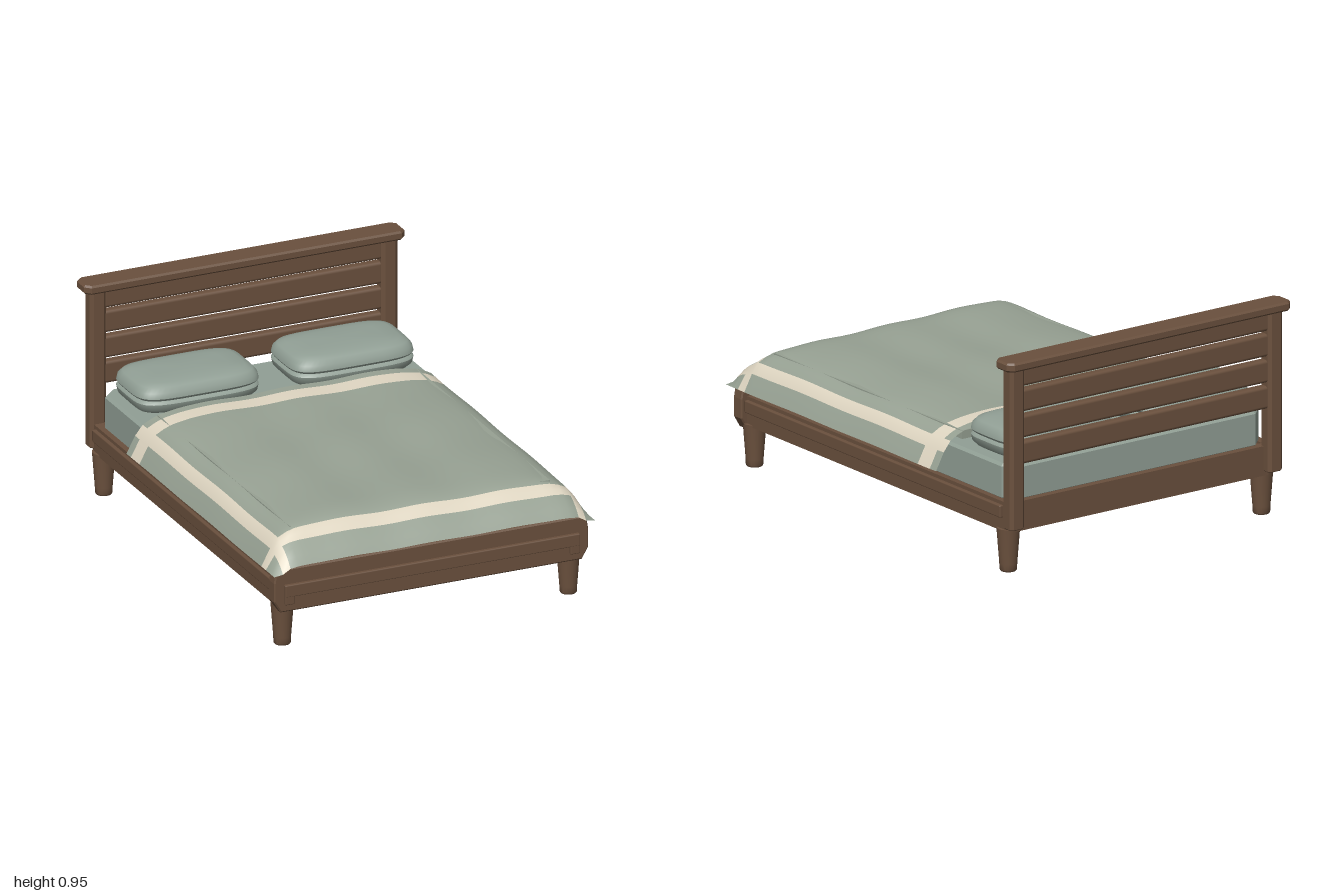
import * as THREE from 'three';
import { toCreasedNormals } from 'three/addons/utils/BufferGeometryUtils.js';
import { RoundedBoxGeometry } from 'three/addons/geometries/RoundedBoxGeometry.js';

const material = (name, color, side = THREE.FrontSide) => {
  const m = new THREE.MeshStandardMaterial({ color, side });
  m.name = name;
  return m;
};

// Rectangle with chamfered corners
function chamferedShape(w, d, c) {
  const x = w / 2, y = d / 2;
  return new THREE.Shape([
    [-x + c, -y], [x - c, -y], [x, -y + c], [x, y - c],
    [x - c, y], [-x + c, y], [-x, y - c], [-x, -y + c],
  ].map(p => new THREE.Vector2(...p)));
}

// Upright chamfered prism standing on its base, with bevelled top and bottom
function prism(w, h, d, c, bevel) {
  const g = new THREE.ExtrudeGeometry(chamferedShape(w, d, c), {
    depth: h - 2 * bevel, bevelEnabled: true, bevelSize: bevel,
    bevelThickness: bevel, bevelOffset: -bevel, bevelSegments: 1,
  });
  return g.translate(0, 0, bevel).rotateX(-Math.PI / 2);
}

// Linear interpolation through [position, value] pairs
function interpolate(points, t) {
  for (let i = 1; i < points.length; i++) {
    const [a, va] = points[i - 1], [b, vb] = points[i];
    if (t <= b) return va + (vb - va) * Math.max(0, (t - a) / (b - a));
  }
  return points[points.length - 1][1];
}

// Splits each span between stops into even steps
function subdivide(stops, maxStep) {
  const out = [stops[0]];
  for (let i = 1; i < stops.length; i++) {
    const a = stops[i - 1], b = stops[i], n = Math.ceil((b - a) / maxStep - 1e-6);
    for (let k = 1; k <= n; k++) out.push(a + (b - a) * k / n);
  }
  return out;
}

// Wavy cover draped over both sides and the foot, with border bands as a second group
function blanketGeometry() {
  const xs = subdivide([-0.74, -0.7, -0.665, -0.55, 0.55, 0.665, 0.7, 0.74], 0.04);
  const zs = subdivide([-0.48, -0.435, -0.35, 0.8, 0.87, 0.915, 1], 0.04);
  const sideDrop = [[0.5, 0], [0.58, 0.01], [0.63, 0.03], [0.665, 0.05], [0.7, 0.095], [0.72, 0.13], [0.74, 0.17]];
  const footDrop = [[0.78, 0], [0.83, 0.005], [0.87, 0.015], [0.915, 0.055], [0.96, 0.085], [1, 0.135]];
  const pos = [], base = [], bands = [];
  for (const z of zs) for (const x of xs) {
    const drop = Math.min(0.17, Math.hypot(interpolate(sideDrop, Math.abs(x)), interpolate(footDrop, z)));
    const wave = 0.005 * Math.cos(x * 17) * (0.8 + 0.2 * Math.sin(z * 5)) + 0.003 * Math.sin(z * 11 + x * 3);
    pos.push(x, 0.515 - drop + wave * (1 - drop / 0.25), z);
  }
  const n = xs.length;
  for (let j = 0; j < zs.length - 1; j++) for (let i = 0; i < n - 1; i++) {
    const x = Math.abs(xs[i] + xs[i + 1]) / 2, z = (zs[j] + zs[j + 1]) / 2;
    const isBand = (x > 0.665 && x < 0.7) || (z > -0.435 && z < -0.35) || (z > 0.87 && z < 0.915);
    const a = j * n + i, b = a + 1, c = a + n, d = c + 1;
    (isBand ? bands : base).push(a, c, b, b, c, d);
  }
  const g = new THREE.BufferGeometry();
  g.setAttribute('position', new THREE.Float32BufferAttribute(pos, 3));
  g.setIndex([...base, ...bands]);
  g.addGroup(0, base.length, 0);
  g.addGroup(base.length, bands.length, 1);
  g.computeVertexNormals();
  return g;
}

// Rounded-rectangle rings stacked into a plump cushion with a seam groove
function pillowGeometry() {
  const profile = [[0, 0], [0.1, 0], [0.13, 0.003], [0.158, 0.012], [0.175, 0.03], [0.18, 0.055], [0.175, 0.063],
    [0.168, 0.068], [0.175, 0.073], [0.18, 0.081], [0.175, 0.105], [0.158, 0.125], [0.13, 0.135], [0.09, 0.141], [0, 0.143]];
  const sides = 48, pos = [], idx = [];
  for (const [r, y] of profile) for (let k = 0; k < sides; k++) {
    const t = k / sides * Math.PI * 2, c = Math.cos(t), s = Math.sin(t);
    const halfX = r > 0 ? r + 0.105 * Math.min(1, r / 0.13) : 0;
    pos.push(halfX * Math.sign(c) * Math.abs(c) ** 0.45, y, r * Math.sign(s) * Math.abs(s) ** 0.45);
  }
  for (let j = 0; j < profile.length - 1; j++) for (let k = 0; k < sides; k++) {
    const a = j * sides + k, b = j * sides + (k + 1) % sides, c = a + sides, d = b + sides;
    idx.push(a, c, b, b, c, d);
  }
  const g = new THREE.BufferGeometry();
  g.setAttribute('position', new THREE.Float32BufferAttribute(pos, 3));
  g.setIndex(idx);
  g.computeVertexNormals();
  return toCreasedNormals(g, 0.7);
}

export function createModel() {
  const bed = new THREE.Group();
  bed.name = 'bed';
  const wood = material('brown wood', 0x6a503d);
  const sheet = material('sage sheet', 0x919f95);
  const cover = material('sage blanket', 0x97a193, THREE.DoubleSide);
  const cream = material('cream border', 0xded5c1, THREE.DoubleSide);

  const add = (name, geometry, mat, x = 0, y = 0, z = 0) => {
    const mesh = new THREE.Mesh(geometry, mat);
    mesh.name = name;
    mesh.position.set(x, y, z);
    bed.add(mesh);
    return mesh;
  };
  // Box given by its minimum and maximum corners
  const box = (name, x0, x1, y0, y1, z0, z1, mat = wood) =>
    add(name, new THREE.BoxGeometry(x1 - x0, y1 - y0, z1 - z0), mat, (x0 + x1) / 2, (y0 + y1) / 2, (z0 + z1) / 2);

  // Tapered round legs
  const legProfile = [[0, 0], [0.033, 0], [0.037, 0.006], [0.038, 0.035], [0.05, 0.19], [0, 0.19]];
  const leg = toCreasedNormals(new THREE.LatheGeometry(legProfile.map(p => new THREE.Vector2(...p)), 20), 0.6);
  const post = prism(0.075, 0.715, 0.07, 0.014, 0.004);
  for (const s of [-1, 1]) {
    const side = s > 0 ? 'left' : 'right';
    add(side + 'FrontLeg', leg, wood, s * 0.66, 0, 0.905);
    add(side + 'BackLeg', leg, wood, s * 0.66, 0, -0.88);
    add(side + 'HeadboardPost', post, wood, s * 0.6725, 0.2, -0.935);
    // Side rail with raised moulding
    add(side + 'SideRail', new THREE.BoxGeometry(0.04, 0.13, 1.83), wood, s * 0.675, 0.245, 0.005);
    add(side + 'RailMoulding', new RoundedBoxGeometry(0.03, 0.055, 1.8, 1, 0.006), wood, s * 0.696, 0.267, 0.01);
    // End blocks of the footboard moulding
    add(side + 'FootboardBlock', new RoundedBoxGeometry(0.045, 0.09, 0.02, 1, 0.005), wood, s * 0.658, 0.245, 0.973);
  }

  // Headboard slats and cap
  const slat = new RoundedBoxGeometry(1.29, 0.1, 0.045, 2, 0.014);
  for (const y of [0.53, 0.645, 0.76, 0.872]) add('headboardSlat', slat, wood, 0, y, -0.935);
  add('headboardCap', prism(1.48, 0.04, 0.12, 0.025, 0.008), wood, 0, 0.907, -0.94);

  // Back rail and underside panel
  box('backRail', -0.66, 0.66, 0.18, 0.31, -0.93, -0.89);
  box('basePanel', -0.66, 0.66, 0.2, 0.3, -0.9, 0.92);

  // Footboard with tapered lower corners and raised moulding
  const half = [[0.695, 0.165], [0.725, 0.215], [0.725, 0.3], [0.715, 0.36]];
  const outline = [...half, ...half.map(([x, y]) => [-x, y]).reverse()].map(p => new THREE.Vector2(...p));
  add('footboard', new THREE.ExtrudeGeometry(new THREE.Shape(outline), {
    depth: 0.046, bevelEnabled: true, bevelSize: 0.006, bevelThickness: 0.006, bevelOffset: -0.006, bevelSegments: 1,
  }), wood, 0, 0, 0.916);
  add('footboardMoulding', new RoundedBoxGeometry(1.36, 0.055, 0.024, 1, 0.005), wood, 0, 0.2625, 0.972);

  // Mattress, inner padding and draped blanket
  add('mattress', prism(1.34, 0.16, 1.8, 0.055, 0.012), sheet, 0, 0.3, 0);
  box('blanketPadding', -0.6, 0.6, 0.45, 0.497, -0.475, 0.85, cover);
  add('blanket', blanketGeometry(), [cover, cream]);

  // Pillows
  const pillow = pillowGeometry();
  for (const s of [-1, 1]) add(s > 0 ? 'leftPillow' : 'rightPillow', pillow, sheet, s * 0.357, 0.459, -0.7);

  return bed;
}
